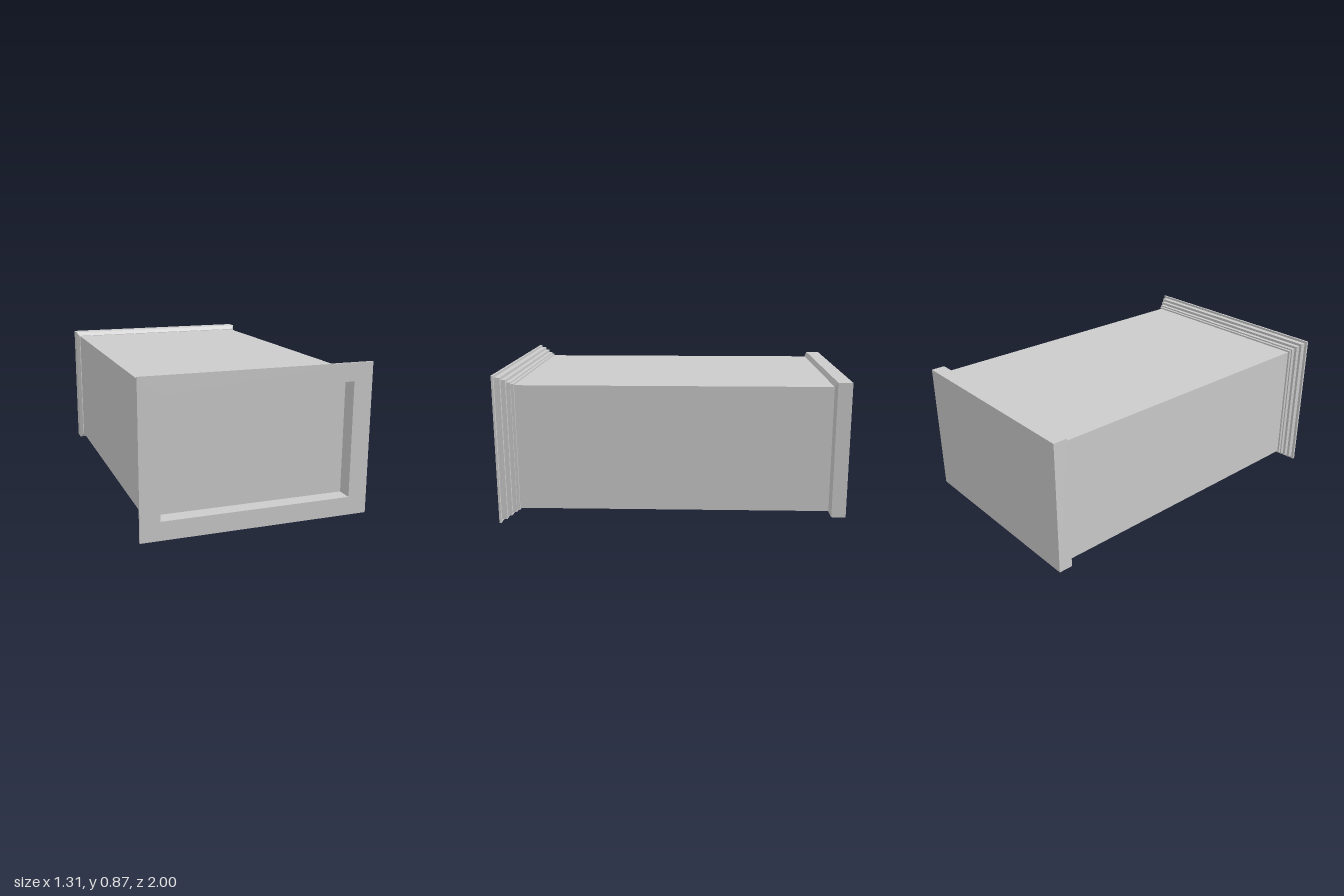
import * as THREE from 'three';

const material = new THREE.MeshStandardMaterial({ color: 0xcccccc });

// Box given by its limits on each axis
function slab(parent, name, x0, x1, y0, y1, z0, z1) {
  const mesh = new THREE.Mesh(new THREE.BoxGeometry(x1 - x0, y1 - y0, z1 - z0), material);
  mesh.position.set((x0 + x1) / 2, (y0 + y1) / 2, (z0 + z1) / 2);
  mesh.name = name;
  parent.add(mesh);
  return mesh;
}

function rect(path, x0, x1, y0, y1) {
  path.moveTo(x0, y0);
  path.lineTo(x1, y0);
  path.lineTo(x1, y1);
  path.lineTo(x0, y1);
  path.closePath();
  return path;
}

// Rectangular ring extruded along +z
function ring(name, outer, inner, depth) {
  const shape = rect(new THREE.Shape(), ...outer);
  shape.holes.push(rect(new THREE.Path(), ...inner));
  const mesh = new THREE.Mesh(
    new THREE.ExtrudeGeometry(shape, { depth, bevelEnabled: false }), material);
  mesh.name = name;
  return mesh;
}

// Box whose +z end is scaled to another size
function taperedSlab(parent, name, limits, sx, sy) {
  const mesh = slab(parent, name, ...limits);
  const p = mesh.geometry.attributes.position;
  for (let i = 0; i < p.count; i++) {
    if (p.getZ(i) > 0) p.setXY(i, p.getX(i) * sx, p.getY(i) * sy);
  }
  mesh.geometry.computeVertexNormals();
}

// Door in the x-z plane with a stepped, sunken panel; its face looks toward -y
function makeDoor(side) {
  const door = new THREE.Group();
  door.name = side > 0 ? 'leftDoor' : 'rightDoor';
  const x0 = side > 0 ? 0.004 : -0.496, x1 = side > 0 ? 0.496 : -0.004;
  const z0 = -0.872, z1 = -0.316;
  const inset = (d) => [x0 + d, x1 - d, z0 + d, z1 - d];
  const steps = [
    ['doorFrame', 0, 0.055, 0.068],
    ['doorMoulding', 0.055, 0.068, 0.073],
    ['doorInnerMoulding', 0.068, 0.08, 0.078],
  ];
  for (const [name, a, b, y] of steps) {
    const mesh = ring(name, inset(a), inset(b), 0.1 - y);
    // shape x,y becomes x,z; the extrusion runs from y = 0.1 down to the face
    mesh.rotation.x = Math.PI / 2;
    mesh.position.y = 0.1;
    door.add(mesh);
  }
  const [a, b, c, d] = inset(0.08);
  slab(door, 'doorPanel', a, b, 0.086, 0.1, c, d);

  // Slim pull beside the meeting edge
  const hx = side * 0.026;
  slab(door, 'handlePlate', hx - 0.009, hx + 0.009, 0.065, 0.069, -0.575, -0.465);
  slab(door, 'handleGrip', hx - 0.004, hx + 0.004, 0.062, 0.066, -0.55, -0.49);
  return door;
}

export function createModel() {
  const cabinet = new THREE.Group();
  cabinet.name = 'bookcaseLyingOnBack';

  const W = 0.587, IN = 0.5, Y0 = 0.07, Y1 = 0.8, BACK = 0.765, MID = 0.435;

  // Carcass: sides and back panel
  for (const s of [-1, 1]) {
    slab(cabinet, s > 0 ? 'leftSide' : 'rightSide',
      Math.min(s * IN, s * W), Math.max(s * IN, s * W), Y0, Y1, -0.91, 0.9);
  }
  slab(cabinet, 'backPanel', -IN, IN, BACK, Y1, -0.91, 0.9);

  // Top board, shelves and the rails around the doors
  const boards = [
    ['topBoard', 0.82, 0.905],
    ['upperShelf', 0.49, 0.55],
    ['lowerShelf', 0.12, 0.18],
    ['cupboardTop', -0.312, -0.275],
    ['cupboardFloor', -0.91, -0.876],
  ];
  for (const [name, z0, z1] of boards) slab(cabinet, name, -IN, IN, Y0, BACK, z0, z1);

  // Cupboard doors with backing behind the gaps
  slab(cabinet, 'doorBacking', -IN, IN, 0.098, 0.11, -0.876, -0.312);
  cabinet.add(makeDoor(1), makeDoor(-1));

  // Plinth with chamfered upper edge
  slab(cabinet, 'plinth', -0.612, 0.612, 0.042, 0.828, -1, -0.918);
  taperedSlab(cabinet, 'plinthChamfer',
    [-0.612, 0.612, 0.042, 0.828, -0.918, -0.904], 0.592 / 0.612, 0.368 / 0.393);

  // Crown moulding: stepped frames around the sunken top
  const crown = new THREE.Group();
  crown.name = 'crownMoulding';
  const hole = [-0.545, 0.545, 0.105, 0.762];
  const steps = [
    [0.598, 0.375, 0.89, 0.906],
    [0.606, 0.384, 0.906, 0.93],
    [0.622, 0.4, 0.93, 0.956],
    [0.638, 0.416, 0.956, 0.988],
    [0.655, 0.4325, 0.988, 1],
  ];
  for (const [hx, hy, z0, z1] of steps) {
    const cy = hy > 0.43 ? 0.4325 : MID;
    const mesh = ring('crownStep', [-hx, hx, cy - hy, cy + hy], hole, z1 - z0);
    mesh.position.z = z0;
    crown.add(mesh);
  }
  slab(crown, 'sunkenTop', -0.55, 0.55, 0.1, 0.77, 0.895, 0.908);
  cabinet.add(crown);

  return cabinet;
}
